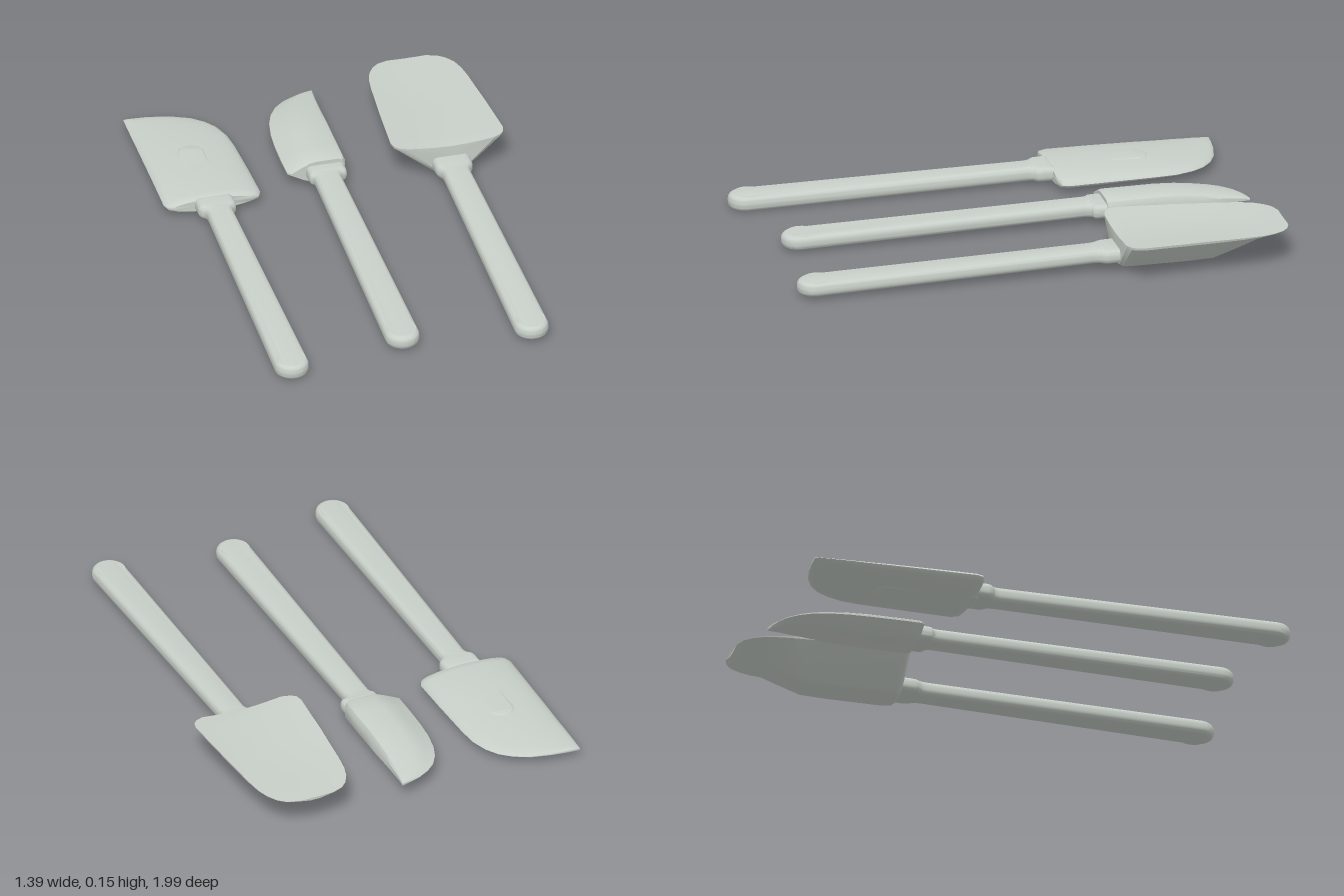
import * as THREE from 'three';
import { toCreasedNormals } from 'three/addons/utils/BufferGeometryUtils.js';

const paleGrey = new THREE.MeshStandardMaterial({ color: 0xc8cfc8 });
paleGrey.name = 'paleGrey';

function part(name, geometry, crease) {
  const mesh = new THREE.Mesh(toCreasedNormals(geometry, crease), paleGrey);
  mesh.name = name;
  return mesh;
}

// Rounded slab from an outline drawn in x and -z, lying between y and y + thickness
function slab(shape, y, thickness, bevel) {
  const g = new THREE.ExtrudeGeometry(shape, {
    depth: thickness - 2 * bevel, bevelThickness: bevel, bevelSize: bevel,
    bevelOffset: -bevel, bevelSegments: 5, curveSegments: 20,
  });
  return g.rotateX(-Math.PI / 2).translate(0, y + bevel, 0);
}

// Handle with a round end, hanging hole and flared neck
// end: [x, z] of the hole, neck: [left, right, z], flare: [left, right, z]
function handle({ end, neck, flare, y, thickness, rise }) {
  const r = 0.068, [ex, ez] = end;
  const s = new THREE.Shape();
  s.absarc(ex, -ez - 0.012, r, Math.PI, Math.PI * 2, false);
  s.lineTo(neck[1], -neck[2]);
  s.bezierCurveTo(neck[1], -neck[2] + 0.05, flare[1], -flare[2] - 0.08, flare[1], -flare[2] - 0.03);
  s.lineTo(flare[1], -flare[2] + 0.02);
  s.lineTo(flare[0], -flare[2] + 0.02);
  s.lineTo(flare[0], -flare[2] - 0.03);
  s.bezierCurveTo(flare[0], -flare[2] - 0.08, neck[0], -neck[2] + 0.05, neck[0], -neck[2]);
  s.closePath();
  const hole = new THREE.Path();
  hole.absarc(ex, -ez, 0.035, 0, Math.PI * 2, true);
  s.holes.push(hole);
  const g = slab(s, y, thickness, 0.023);
  // Tilt up gently towards the blade
  const p = g.attributes.position;
  for (let i = 0; i < p.count; i++) {
    p.setY(i, p.getY(i) + (rise * (ez - p.getZ(i))) / (ez - flare[2]));
  }
  return part('handle', g, 0.5);
}

// Blade lofted from a cross-section [u, dy], clockwise seen from the front.
// stations: [z, left, right, y, thickness factor]
function blade(profile, stations, crease) {
  const n = profile.length, pos = [], idx = [];
  for (const [z, l, r, y, k] of stations) {
    for (const [u, dy] of profile) pos.push(l + (r - l) * u, y + dy * k, z);
  }
  for (let i = 0; i < stations.length - 1; i++) {
    for (let j = 0; j < n; j++) {
      const a = i * n + j, b = i * n + ((j + 1) % n);
      idx.push(a, b, b + n, a, b + n, a + n);
    }
  }
  // End caps
  const meanDy = profile.reduce((t, q) => t + q[1], 0) / n;
  [0, stations.length - 1].forEach((i) => {
    const [z, l, r, y, k] = stations[i], c = pos.length / 3;
    pos.push((l + r) / 2, y + meanDy * k, z);
    for (let j = 0; j < n; j++) {
      const a = i * n + j, b = i * n + ((j + 1) % n);
      if (i === 0) idx.push(c, b, a);
      else idx.push(c, a, b);
    }
  });
  const g = new THREE.BufferGeometry();
  g.setAttribute('position', new THREE.Float32BufferAttribute(pos, 3));
  g.setIndex(idx);
  return part('blade', g, crease);
}

function spatula(name, ...parts) {
  const g = new THREE.Group();
  g.name = name;
  g.add(...parts);
  return g;
}

export function createModel() {
  const model = new THREE.Group();
  model.name = 'spatulaSet';

  // Flat spatula: lens-shaped blade with one square and one round corner
  const lens = [];
  for (let i = 0; i < 28; i++) {
    const t = (i / 28) * Math.PI * 2;
    lens.push([0.5 - 0.5 * Math.cos(t), 0.034 * Math.sin(t)]);
  }
  const flatBlade = blade(lens, [
    [-0.303, -0.67, -0.345, 0.045, 0.75], [-0.312, -0.69, -0.32, 0.045, 0.93],
    [-0.34, -0.7, -0.307, 0.045, 1], [-0.5, -0.696, -0.309, 0.045, 0.97],
    [-0.7, -0.692, -0.315, 0.044, 0.82], [-0.78, -0.69, -0.323, 0.043, 0.7],
    [-0.85, -0.689, -0.345, 0.043, 0.57], [-0.9, -0.688, -0.377, 0.042, 0.47],
    [-0.94, -0.687, -0.422, 0.042, 0.38], [-0.97, -0.686, -0.482, 0.041, 0.3],
    [-0.99, -0.686, -0.56, 0.041, 0.22], [-0.997, -0.685, -0.62, 0.04, 0.17],
    [-1, -0.684, -0.665, 0.04, 0.12],
  ], 0.7);
  // Raised core running from the handle into the blade
  const core = new THREE.Shape();
  core.moveTo(-0.56, 0.29);
  core.lineTo(-0.45, 0.29);
  core.lineTo(-0.45, 0.65);
  core.absarc(-0.505, 0.65, 0.055, 0, Math.PI, false);
  core.closePath();
  model.add(spatula('flatSpatula', flatBlade,
    part('bladeCore', slab(core, 0.013, 0.063, 0.012), 0.5),
    handle({ end: [-0.523, 0.91], neck: [-0.557, -0.453, -0.2], flare: [-0.582, -0.428, -0.3],
      y: 0.006, thickness: 0.06, rise: 0.013 })));

  // Narrow spatula: wedge blade, thin on its right edge and thick on its left
  const wedge = [
    [0, -0.004], [0, 0.004], [0.2, 0.028], [0.36, 0.045], [0.48, 0.05], [0.88, 0.05], [0.96, 0.043],
    [1, 0.025], [1, -0.018], [0.95, -0.036], [0.86, -0.045], [0.36, -0.045], [0.26, -0.038],
  ];
  const narrowBlade = blade(wedge, [
    [-0.398, -0.165, 0.05, 0.065, 0.9], [-0.412, -0.178, 0.057, 0.065, 1],
    [-0.5, -0.178, 0.059, 0.065, 1], [-0.62, -0.174, 0.06, 0.066, 1],
    [-0.7, -0.167, 0.062, 0.067, 0.92], [-0.78, -0.152, 0.063, 0.068, 0.74],
    [-0.84, -0.13, 0.065, 0.069, 0.58], [-0.89, -0.098, 0.067, 0.069, 0.43],
    [-0.925, -0.058, 0.069, 0.07, 0.32], [-0.95, -0.012, 0.071, 0.07, 0.22],
    [-0.963, 0.03, 0.073, 0.07, 0.15], [-0.97, 0.062, 0.073, 0.07, 0.1],
  ], 0.6);
  model.add(spatula('narrowSpatula', narrowBlade,
    handle({ end: [-0.049, 0.82], neck: [-0.09, 0.018, -0.31], flare: [-0.105, 0.05, -0.4],
      y: 0.014, thickness: 0.058, rise: 0.022 })));

  // Scoop spatula: deep keel under a shallow dished top
  const scoop = [
    [0, 0], [0.12, -0.005], [0.3, -0.011], [0.5, -0.014], [0.7, -0.011], [0.88, -0.005], [1, 0],
    [0.995, -0.01], [0.68, -0.128], [0.63, -0.138], [0.39, -0.138], [0.34, -0.128], [0.005, -0.01],
  ];
  const scoopBlade = blade(scoop, [
    [-0.32, 0.29, 0.635, 0.156, 0.9], [-0.333, 0.255, 0.665, 0.158, 0.97],
    [-0.35, 0.238, 0.682, 0.16, 1], [-0.38, 0.232, 0.69, 0.16, 1],
    [-0.6, 0.249, 0.676, 0.156, 0.99], [-0.7, 0.259, 0.668, 0.153, 0.95],
    [-0.8, 0.268, 0.661, 0.15, 0.68], [-0.87, 0.278, 0.652, 0.148, 0.48],
    [-0.92, 0.293, 0.637, 0.147, 0.34], [-0.96, 0.316, 0.613, 0.145, 0.22],
    [-0.985, 0.343, 0.584, 0.144, 0.14], [-1, 0.385, 0.542, 0.143, 0.08],
  ], 0.55);
  model.add(spatula('scoopSpatula', scoopBlade,
    handle({ end: [0.457, 0.89], neck: [0.405, 0.515, -0.21], flare: [0.387, 0.538, -0.32],
      y: 0.018, thickness: 0.058, rise: 0.024 })));

  return model;
}
